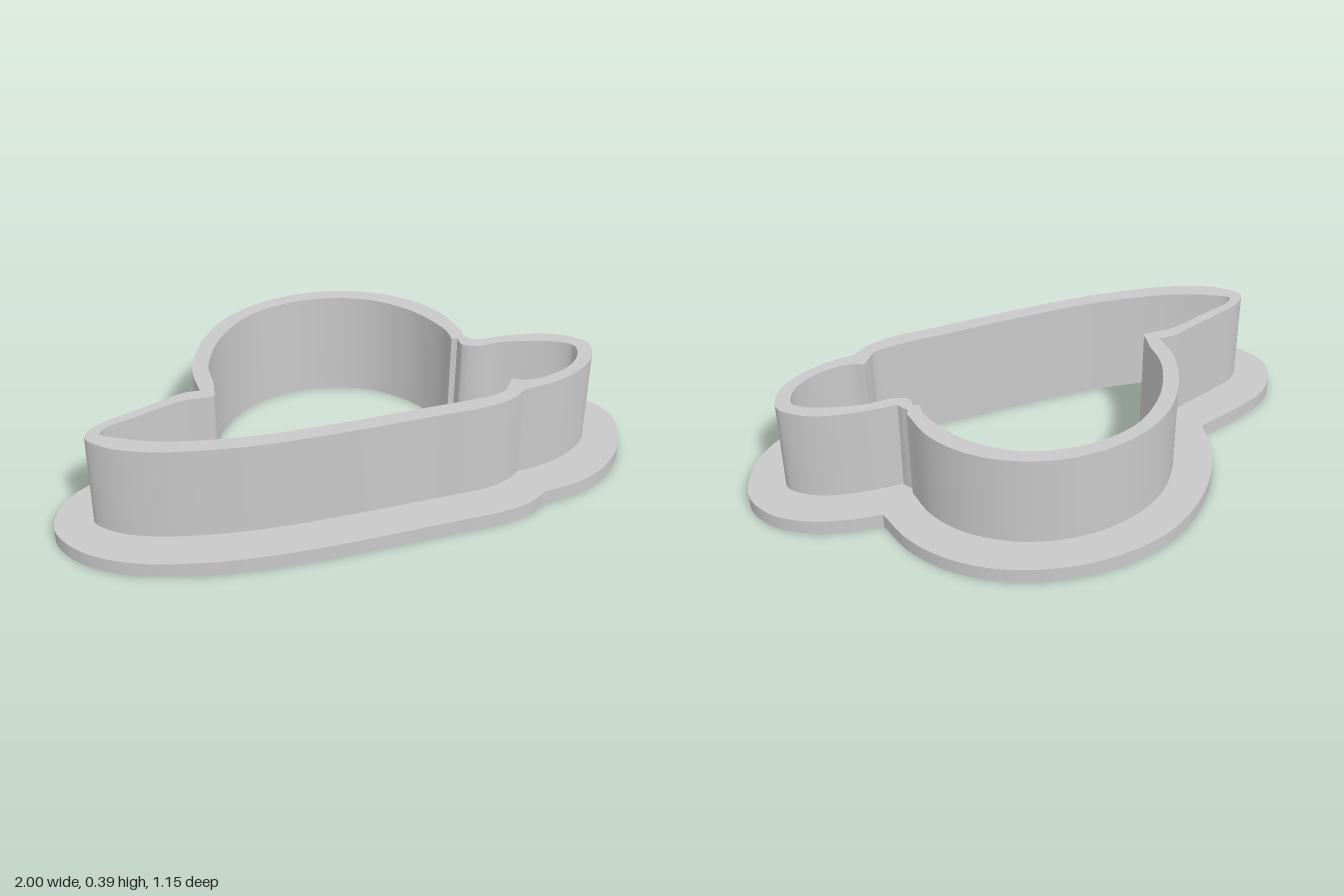
import * as THREE from 'three';
import { toCreasedNormals } from 'three/addons/utils/BufferGeometryUtils.js';

// Each outline is a loop of smooth runs [x, z, x, z, ...]; runs meet at sharp corners.
const flangeEdge = [
  [-0.58, -0.10, -0.555, -0.2, -0.48, -0.335, -0.36, -0.455, -0.2, -0.545, 0, -0.577, 0.2, -0.55,
    0.39, -0.465, 0.52, -0.345, 0.595, -0.21, 0.625, -0.06],
  [0.625, -0.06, 0.74, -0.035, 0.87, 0.02, 0.96, 0.1, 1, 0.21, 0.97, 0.32, 0.9, 0.42, 0.8, 0.49, 0.7, 0.522, 0.57, 0.53],
  [0.57, 0.53, 0.5, 0.563, 0.4, 0.575, 0.2, 0.565, -0.3, 0.53, -0.6, 0.475, -0.82, 0.39, -0.95, 0.28,
    -1, 0.155, -0.96, 0.05, -0.88, -0.02, -0.76, -0.06, -0.58, -0.10],
];
const wallEdge = [
  [-0.46, 0.03, -0.455, -0.07, -0.42, -0.17, -0.36, -0.27, -0.27, -0.36, -0.15, -0.42, 0, -0.445,
    0.16, -0.425, 0.31, -0.355, 0.42, -0.25, 0.48, -0.13, 0.495, 0],
  [0.495, 0, 0.487, 0.02, 0.497, 0.04, 0.505, 0.06],
  [0.505, 0.06, 0.63, 0.077, 0.74, 0.105, 0.82, 0.15, 0.868, 0.215, 0.835, 0.3, 0.75, 0.36, 0.65, 0.39, 0.535, 0.397],
  [0.535, 0.397, 0.48, 0.427, 0.4, 0.443, 0.2, 0.433, -0.28, 0.397, -0.5, 0.36, -0.7, 0.3, -0.82, 0.23,
    -0.87, 0.155, -0.83, 0.11, -0.74, 0.08, -0.6, 0.045, -0.52, 0.025, -0.46, 0.03],
];
const innerEdge = [
  [-0.405, 0, -0.395, -0.09, -0.35, -0.19, -0.27, -0.29, -0.15, -0.37, 0, -0.397, 0.15, -0.375,
    0.28, -0.31, 0.38, -0.2, 0.43, -0.09, 0.445, -0.02, 0.44, 0.03],
  [0.44, 0.03, 0.46, 0.035],
  [0.46, 0.035, 0.46, 0.075, 0.5, 0.1, 0.6, 0.11, 0.7, 0.14, 0.79, 0.185, 0.815, 0.22, 0.79, 0.28, 0.72, 0.33,
    0.62, 0.352, 0.56, 0.345, 0.525, 0.325],
  [0.525, 0.325, 0.5, 0.35, 0.47, 0.38, 0.4, 0.39, 0.2, 0.38, -0.28, 0.345, -0.5, 0.305, -0.66, 0.255, -0.77, 0.195,
    -0.82, 0.155, -0.8, 0.13, -0.7, 0.105, -0.53, 0.068, -0.47, 0.073, -0.425, 0.075, -0.415, 0.04, -0.405, 0],
];

// Sample the runs into one closed loop (z is negated because the extrusion is tipped up later)
function outline(runs) {
  return runs.flatMap((run) => {
    const points = [];
    for (let i = 0; i < run.length; i += 2) points.push(new THREE.Vector3(run[i], -run[i + 1], 0));
    const curve = new THREE.CatmullRomCurve3(points);
    return curve.getPoints((points.length - 1) * 6).slice(0, -1).map((p) => new THREE.Vector2(p.x, p.y));
  });
}

// Upright ring between two outlines; the outer loop runs counter to the hole so both sides face out
function ring(name, outer, inner, bottom, top, material) {
  const shape = new THREE.Shape(outline(outer).reverse());
  shape.holes.push(new THREE.Path(outline(inner)));
  const geometry = new THREE.ExtrudeGeometry(shape, { depth: top - bottom, bevelEnabled: false });
  geometry.rotateX(-Math.PI / 2).translate(0, bottom, 0);
  const mesh = new THREE.Mesh(toCreasedNormals(geometry, 0.5), material);
  mesh.name = name;
  return mesh;
}

export function createModel() {
  const group = new THREE.Group();
  group.name = 'hatCutter';
  const grey = new THREE.MeshStandardMaterial({ color: 0xc8c8c8 });
  grey.name = 'grey';
  group.add(
    ring('baseFlange', flangeEdge, innerEdge, 0, 0.052, grey),
    ring('cutterWall', wallEdge, innerEdge, 0.052, 0.387, grey),
  );
  return group;
}
